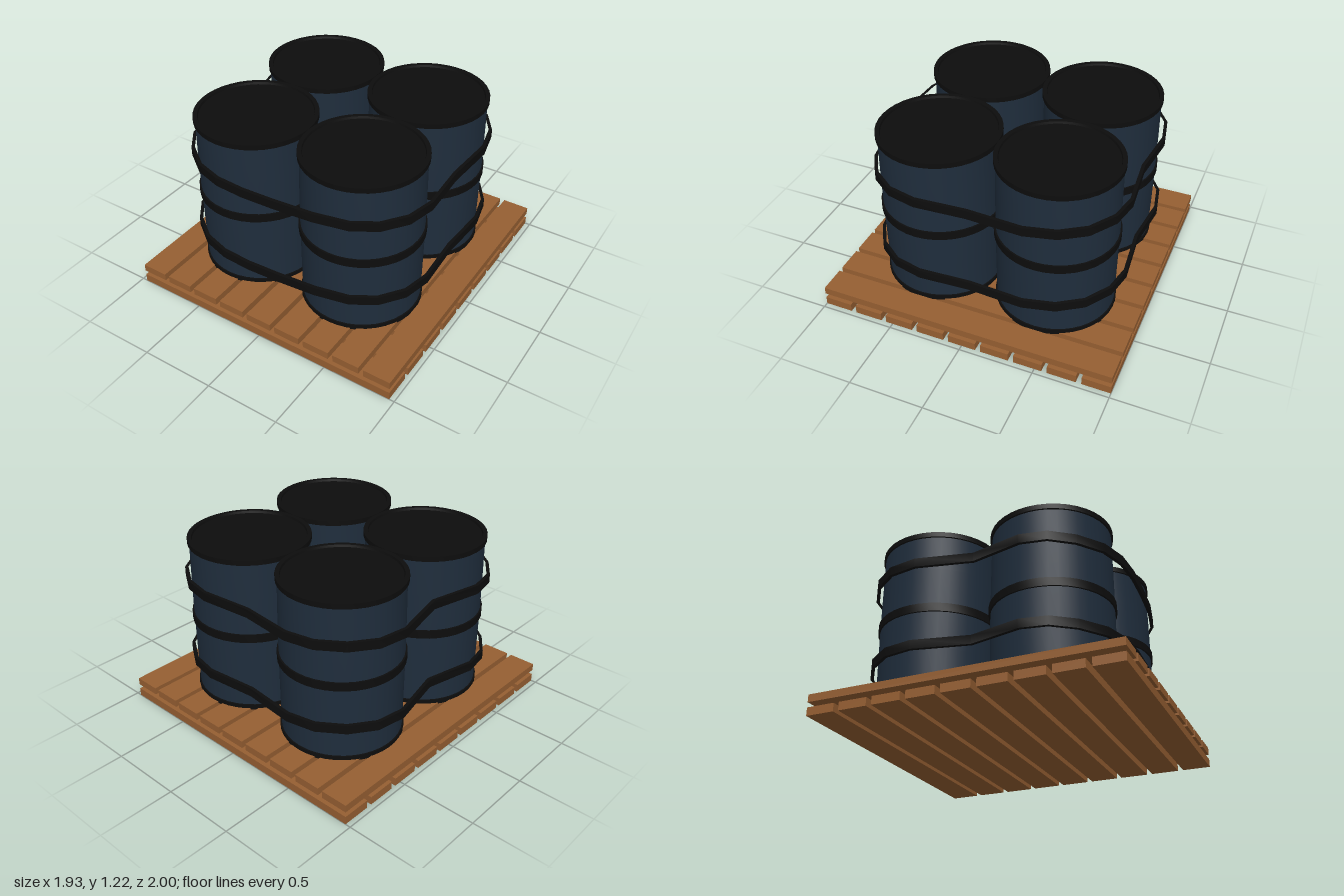
import * as THREE from 'three';
import { toCreasedNormals } from 'three/addons/utils/BufferGeometryUtils.js';

const wood = new THREE.MeshStandardMaterial({ color: 0x965f32 });
const navy = new THREE.MeshStandardMaterial({ color: 0x1f2d3c });
const black = new THREE.MeshStandardMaterial({ color: 0x0d0d0d });

function addMesh(parent, name, geometry, material) {
  const mesh = new THREE.Mesh(geometry, material);
  mesh.name = name;
  parent.add(mesh);
  return mesh;
}

function lathe(points) {
  const profile = points.map(([r, y]) => new THREE.Vector2(r, y));
  return toCreasedNormals(new THREE.LatheGeometry(profile, 40), 0.5);
}

// Two crossed layers of nine boards
function createPallet() {
  const pallet = new THREE.Group();
  pallet.name = 'pallet';
  const lower = new THREE.BoxGeometry(1.93, 0.055, 0.19);
  const upper = new THREE.BoxGeometry(0.184, 0.05, 2);
  for (let i = -4; i <= 4; i++) {
    addMesh(pallet, 'lowerBoard', lower, wood).position.set(0, 0.0275, i * 0.2262);
    addMesh(pallet, 'upperBoard', upper, wood).position.set(i * 0.2182, 0.114, 0);
  }
  return pallet;
}

// Slightly bulged drum with end rims, middle hoop and sunken lid
const bodyGeometry = lathe([
  [0, 0.14], [0.386, 0.14], [0.389, 0.4], [0.391, 0.675], [0.389, 0.95], [0.386, 1.2], [0, 1.2],
]);
const topRimGeometry = lathe([
  [0.38, 1.188], [0.398, 1.188], [0.398, 1.222], [0.37, 1.222], [0.366, 1.207], [0, 1.207],
]);
const bottomRimGeometry = lathe([
  [0, 0.13], [0.396, 0.13], [0.396, 0.165], [0.38, 0.165],
]);
const hoopGeometry = lathe([
  [0.385, 0.647], [0.402, 0.647], [0.402, 0.703], [0.385, 0.703],
]);

function createBarrel() {
  const barrel = new THREE.Group();
  barrel.name = 'barrel';
  addMesh(barrel, 'barrelBody', bodyGeometry, navy);
  addMesh(barrel, 'lidAndTopRim', topRimGeometry, black);
  addMesh(barrel, 'bottomRim', bottomRimGeometry, black);
  addMesh(barrel, 'middleHoop', hoopGeometry, black);
  return barrel;
}

// Strap centre line seen from above, as x and z
const strapPath = [
  [-0.37, -0.863], [-0.02, -0.828], [0.33, -0.863], [0.515, -0.825], [0.68, -0.715],
  [0.783, -0.56], [0.83, -0.36], [0.812, 0], [0.832, 0.34], [0.79, 0.525],
  [0.68, 0.675], [0.53, 0.765], [0.31, 0.81], [0.05, 0.832], [-0.18, 0.842],
  [-0.38, 0.83], [-0.56, 0.775], [-0.72, 0.655], [-0.828, 0.51], [-0.858, 0.34],
  [-0.778, 0], [-0.862, -0.37], [-0.83, -0.56], [-0.72, -0.715], [-0.56, -0.825],
].map(([x, z]) => new THREE.Vector2(x, -z));

function offsetPath(distance) {
  const n = strapPath.length;
  return strapPath.map((p, i) => {
    const along = strapPath[(i + 1) % n].clone().sub(strapPath[(i + n - 1) % n]).normalize();
    return new THREE.Vector2(p.x - along.y * distance, p.y + along.x * distance);
  });
}

function createStrapGeometry() {
  const shape = new THREE.Shape(offsetPath(0.011));
  shape.holes.push(new THREE.Path(offsetPath(-0.011)));
  const geometry = new THREE.ExtrudeGeometry(shape, { depth: 0.06, bevelEnabled: false });
  geometry.rotateX(-Math.PI / 2);
  return toCreasedNormals(geometry, 0.7);
}

export function createModel() {
  const model = new THREE.Group();
  model.name = 'barrelsOnPallet';
  model.add(createPallet());

  // Four barrels in a square
  for (const x of [-0.412, 0.385]) {
    for (const z of [-0.42, 0.377]) {
      const barrel = createBarrel();
      barrel.position.set(x, 0, z);
      model.add(barrel);
    }
  }

  // Two straps around the load
  const strap = createStrapGeometry();
  addMesh(model, 'lowerStrap', strap, black).position.y = 0.365;
  addMesh(model, 'upperStrap', strap, black).position.y = 0.935;
  return model;
}
